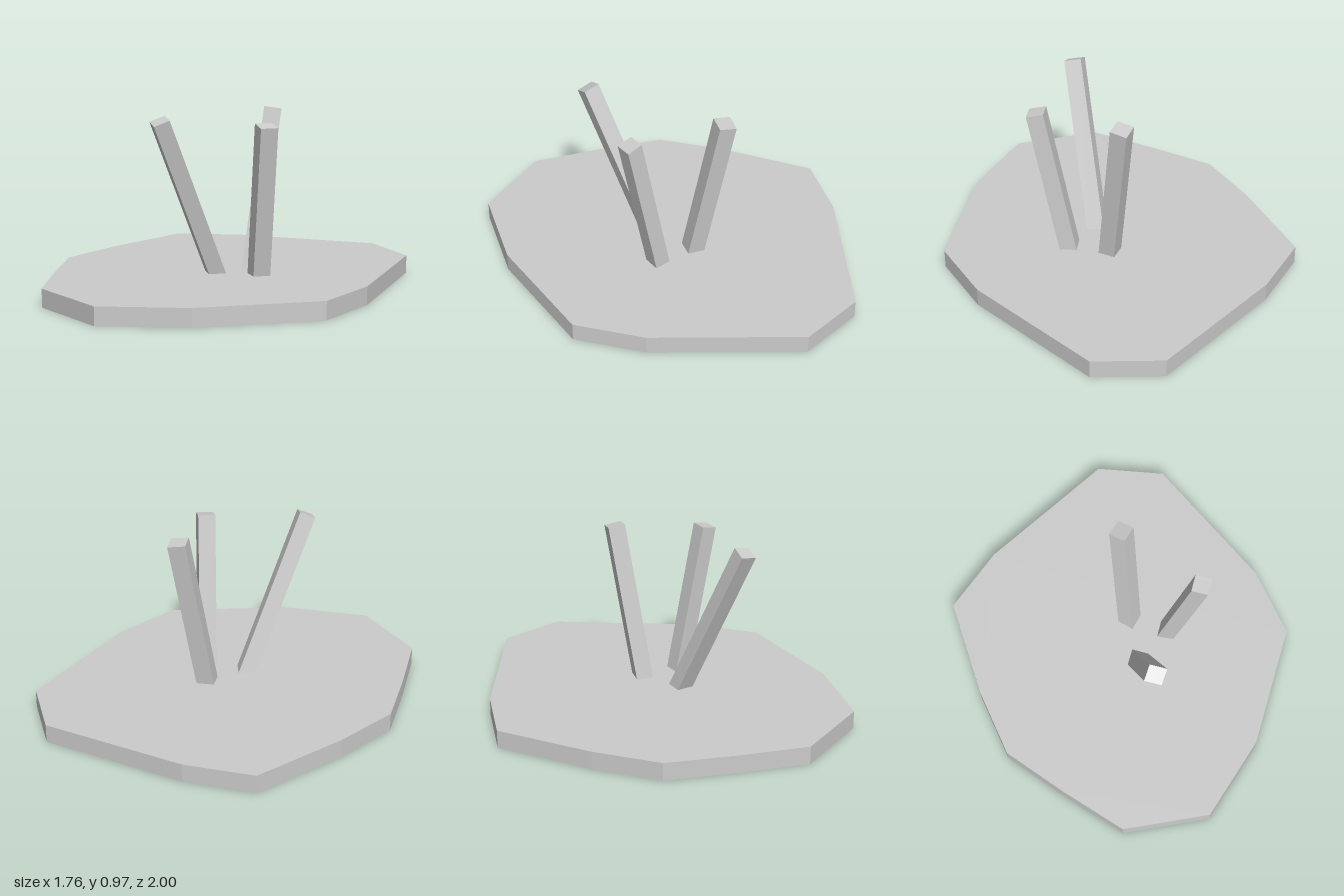
import * as THREE from 'three';

const material = new THREE.MeshStandardMaterial({ color: 0xcccccc, flatShading: true });
const THICK = 0.1;

// Irregular slab outline as [x, z]
const OUTLINE = [
  [-0.58, -0.86], [-0.21, -0.96], [0.605, -1], [0.875, -0.735], [0.88, 0.09], [0.78, 0.47],
  [0.215, 0.85], [-0.245, 0.995], [-0.66, 0.755], [-0.78, 0.38], [-0.88, 0.02], [-0.78, -0.35],
];

// Each leg: centre where it meets the slab, centre of its tip, and its two edge vectors [x, z]
const LEGS = [
  { name: 'rightLeg', base: [0.025, 0.06], tip: [-0.15, 0.947, 0.4], e1: [0.077, -0.053], e2: [0.053, 0.077] },
  { name: 'backLeg', base: [0.145, -0.16], tip: [0.215, 0.96, -0.312], e1: [0.09, -0.034], e2: [0.03, 0.088] },
  { name: 'leftLeg', base: [0.263, 0.032], tip: [0.352, 0.92, 0.172], e1: [0.075, -0.055], e2: [0.06, 0.07] },
];

function createSlab() {
  const shape = new THREE.Shape(OUTLINE.map(([x, z]) => new THREE.Vector2(x, -z)));
  const geometry = new THREE.ExtrudeGeometry(shape, { depth: THICK, bevelEnabled: false });
  geometry.rotateX(-Math.PI / 2);
  const slab = new THREE.Mesh(geometry, material);
  slab.name = 'slab';
  return slab;
}

// A slanted square bar: buried level in the slab, tip cut square to its own axis
function createLeg({ name, base, tip, e1, e2 }) {
  const foot = new THREE.Vector3(base[0], THICK, base[1]);
  const top = new THREE.Vector3(...tip);
  const axis = top.clone().sub(foot);
  foot.addScaledVector(axis, -0.05 / axis.y);
  const geometry = new THREE.BoxGeometry(1, 1, 1);
  const pos = geometry.attributes.position;
  for (let i = 0; i < pos.count; i++) {
    const s = pos.getX(i), t = pos.getZ(i), isTop = pos.getY(i) > 0;
    const dx = s * e1[0] + t * e2[0], dz = s * e1[1] + t * e2[1];
    const c = isTop ? top : foot;
    // Slide tip corners along the axis onto the square cut
    const k = isTop ? -(dx * axis.x + dz * axis.z) / axis.lengthSq() : 0;
    pos.setXYZ(i, c.x + dx + k * axis.x, c.y + k * axis.y, c.z + dz + k * axis.z);
  }
  geometry.computeVertexNormals();
  const leg = new THREE.Mesh(geometry, material);
  leg.name = name;
  return leg;
}

export function createModel() {
  const model = new THREE.Group();
  model.name = 'upturnedThreeLeggedTable';
  model.add(createSlab(), ...LEGS.map(createLeg));
  return model;
}
